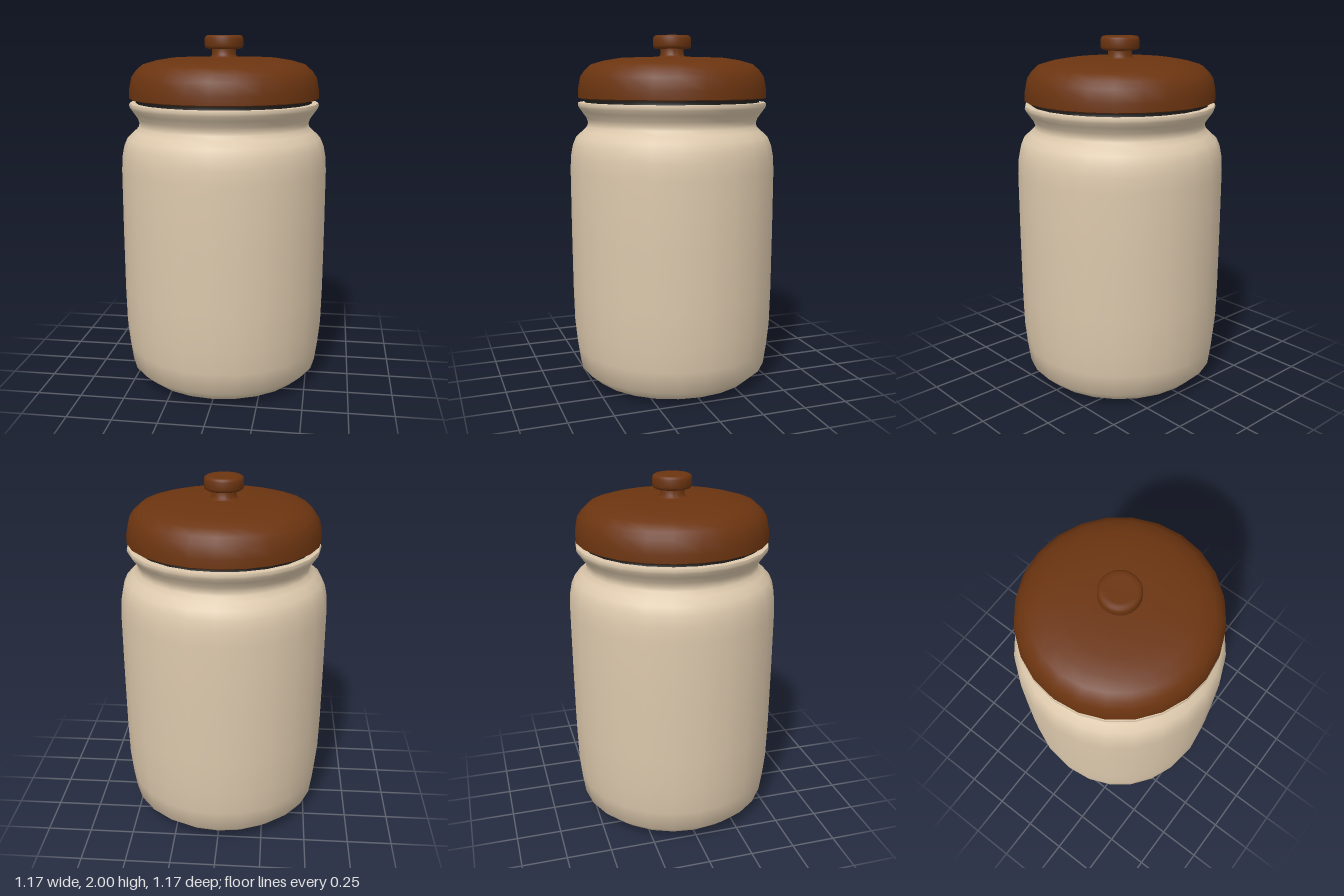
import * as THREE from 'three';
import { toCreasedNormals } from 'three/addons/utils/BufferGeometryUtils.js';

const ceramic = new THREE.MeshStandardMaterial({ color: 0xdcc8ac });
const wood = new THREE.MeshStandardMaterial({ color: 0x6b3410 });
const rubber = new THREE.MeshStandardMaterial({ color: 0x1c1a18 });

// Turned part from a [radius, height] profile, traced from the bottom up the outside
function turned(name, profile, sides, material) {
  const points = profile.map(([r, y]) => new THREE.Vector2(r, y));
  const lathe = new THREE.LatheGeometry(points, sides);
  const mesh = new THREE.Mesh(toCreasedNormals(lathe, THREE.MathUtils.degToRad(52)), material);
  mesh.name = name;
  return mesh;
}

export function createModel() {
  const model = new THREE.Group();
  model.name = 'lidded jar';

  // Hollow body: foot, wall, shoulder, waisted neck, flared rim, then back down the inside
  model.add(turned('jarBody', [
    [0, 0.005], [0.3, 0.005], [0.38, 0.01], [0.48, 0.027], [0.55, 0.09],
    [0.567, 0.21], [0.58, 0.34], [0.585, 0.55], [0.587, 0.9], [0.587, 1.25],
    [0.582, 1.33], [0.57, 1.39], [0.55, 1.435], [0.51, 1.47], [0.486, 1.495],
    [0.482, 1.515], [0.49, 1.54], [0.515, 1.575], [0.533, 1.6], [0.538, 1.615], [0.535, 1.628],
    [0.45, 1.63], [0.44, 1.5], [0.53, 1.38], [0.53, 0.12], [0.45, 0.05], [0, 0.05],
  ], 24, ceramic));

  // Dark seal between rim and lid
  model.add(turned('seal', [
    [0.44, 1.625], [0.502, 1.625], [0.495, 1.64], [0.502, 1.66], [0.44, 1.66],
  ], 24, rubber));

  // Domed lid
  model.add(turned('lid', [
    [0, 1.65], [0.528, 1.65], [0.537, 1.655], [0.536, 1.7], [0.522, 1.77], [0.498, 1.805],
    [0.46, 1.84], [0.39, 1.86], [0.3, 1.875], [0.15, 1.88], [0, 1.88],
  ], 24, wood));

  // Knob with flared stem
  model.add(turned('knob', [
    [0.09, 1.875], [0.075, 1.883], [0.067, 1.893], [0.066, 1.925], [0.095, 1.926],
    [0.104, 1.931], [0.108, 1.942], [0.108, 1.982], [0.104, 1.993],
    [0.093, 2.0], [0.07, 1.999], [0, 1.996],
  ], 48, wood));

  return model;
}
